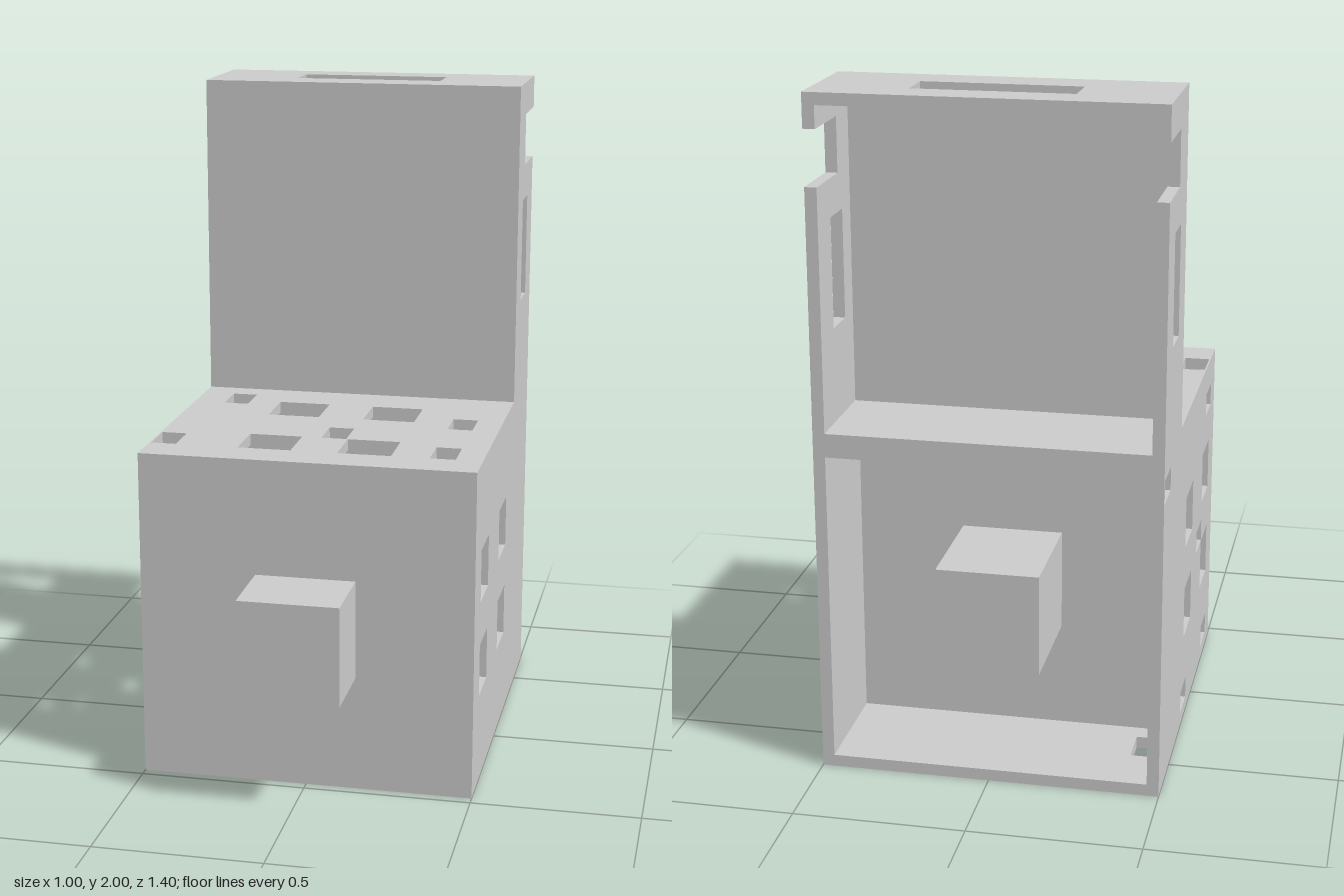
import * as THREE from 'three';

const T = 0.035; // wall thickness
const material = new THREE.MeshStandardMaterial({ color: 0xcccccc, flatShading: true });

const rect = (u0, u1, v0, v1) => [[u0, v0], [u1, v0], [u1, v1], [u0, v1]];
const toPoints = (pts) => pts.map(([u, v]) => new THREE.Vector2(u, v));

// Flat panel with cut-outs. Outline plane by normal: x -> (y,z), y -> (z,x), z -> (x,y)
function panel(name, axis, start, outline, holes = []) {
  const shape = new THREE.Shape(toPoints(outline));
  for (const h of holes) shape.holes.push(new THREE.Path(toPoints(h)));
  const geo = new THREE.ExtrudeGeometry(shape, { depth: T, bevelEnabled: false });
  const e = [new THREE.Vector3(1, 0, 0), new THREE.Vector3(0, 1, 0), new THREE.Vector3(0, 0, 1)];
  const n = 'xyz'.indexOf(axis);
  geo.applyMatrix4(new THREE.Matrix4().makeBasis(e[(n + 1) % 3], e[(n + 2) % 3], e[n]));
  geo.translate(...e[n].multiplyScalar(start).toArray());
  const mesh = new THREE.Mesh(geo, material);
  mesh.name = name;
  return mesh;
}

export function createModel() {
  const group = new THREE.Group();
  group.name = 'ventilatedHousing';

  // Four large windows for the plates and the side walls
  const zSpans = [[-0.2, -0.04], [0.195, 0.35]];
  const plateWindows = [], sideWindows = [];
  for (const [z0, z1] of zSpans) {
    for (const [x0, x1] of [[-0.23, -0.07], [0.07, 0.23]]) plateWindows.push(rect(z0, z1, x0, x1));
    for (const [y0, y1] of [[0.275, 0.435], [0.57, 0.73]]) sideWindows.push(rect(y0, y1, z0, z1));
  }
  // Small scattered openings, given by their centres
  const plateSmall = (x, z) => rect(z - 0.06, z + 0.06, x - 0.038, x + 0.038);
  const sideSmall = (y, z) => rect(y - 0.035, y + 0.035, z - 0.06, z + 0.06);
  const topSmall = [[-0.365, -0.215], [0.382, -0.04], [0.027, 0.134], [-0.457, 0.29], [0.382, 0.29]]
    .map((p) => plateSmall(...p));
  const bottomSmall = [[0.362, -0.215], [0.362, 0.29], [-0.11, 0.134], [-0.45, 0.14], [-0.43, -0.47]]
    .map((p) => plateSmall(...p));
  const rightSmall = [[0.876, 0.317], [0.925, -0.63], [0.475, 0.14], [0.075, 0.317], [0.075, -0.18]]
    .map((p) => sideSmall(...p));

  // Lower body
  const plate = rect(-0.7, 0.47, -0.5, 0.5);
  const side = rect(T, 1 - T, -0.7, 0.47);
  const inner = rect(-0.5 + T, 0.5 - T, T, 1 - T);
  group.add(
    panel('bodyBottom', 'y', 0, plate, [...plateWindows, ...bottomSmall]),
    panel('bodyTop', 'y', 1 - T, plate, [...plateWindows, ...topSmall]),
    panel('bodyLeftWall', 'x', 0.5 - T, side, sideWindows),
    panel('bodyRightWall', 'x', -0.5, side, [...sideWindows, ...rightSmall]),
    panel('bodyFrontWall', 'z', 0.47 - T, inner),
    panel('bodyDividerWall', 'z', -0.35, inner),
  );

  // Upright tower, open at the back, sides slotted and notched
  const towerPlate = rect(-0.7, -0.35, -0.5, 0.5);
  const towerSide = [
    [1 + T, -0.7], [1.74, -0.7], [1.74, -0.5], [1.9, -0.5],
    [1.9, -0.7], [2 - T, -0.7], [2 - T, -0.35], [1 + T, -0.35],
  ];
  const towerSlot = rect(1.31, 1.63, -0.58, -0.465);
  group.add(
    panel('towerBottom', 'y', 1, towerPlate),
    panel('towerTop', 'y', 2 - T, towerPlate, [rect(-0.59, -0.47, -0.23, 0.23)]),
    panel('towerLeftWall', 'x', 0.5 - T, towerSide, [towerSlot]),
    panel('towerRightWall', 'x', -0.5, towerSide, [towerSlot]),
    panel('towerFrontWall', 'z', -0.35 - T, rect(-0.5 + T, 0.5 - T, 1 + T, 2 - T)),
  );

  // Square beam running right through the body
  const beam = new THREE.Mesh(new THREE.BoxGeometry(0.3, 0.3, 1.4), material);
  beam.name = 'throughBeam';
  beam.position.y = 0.5;
  group.add(beam);

  return group;
}
